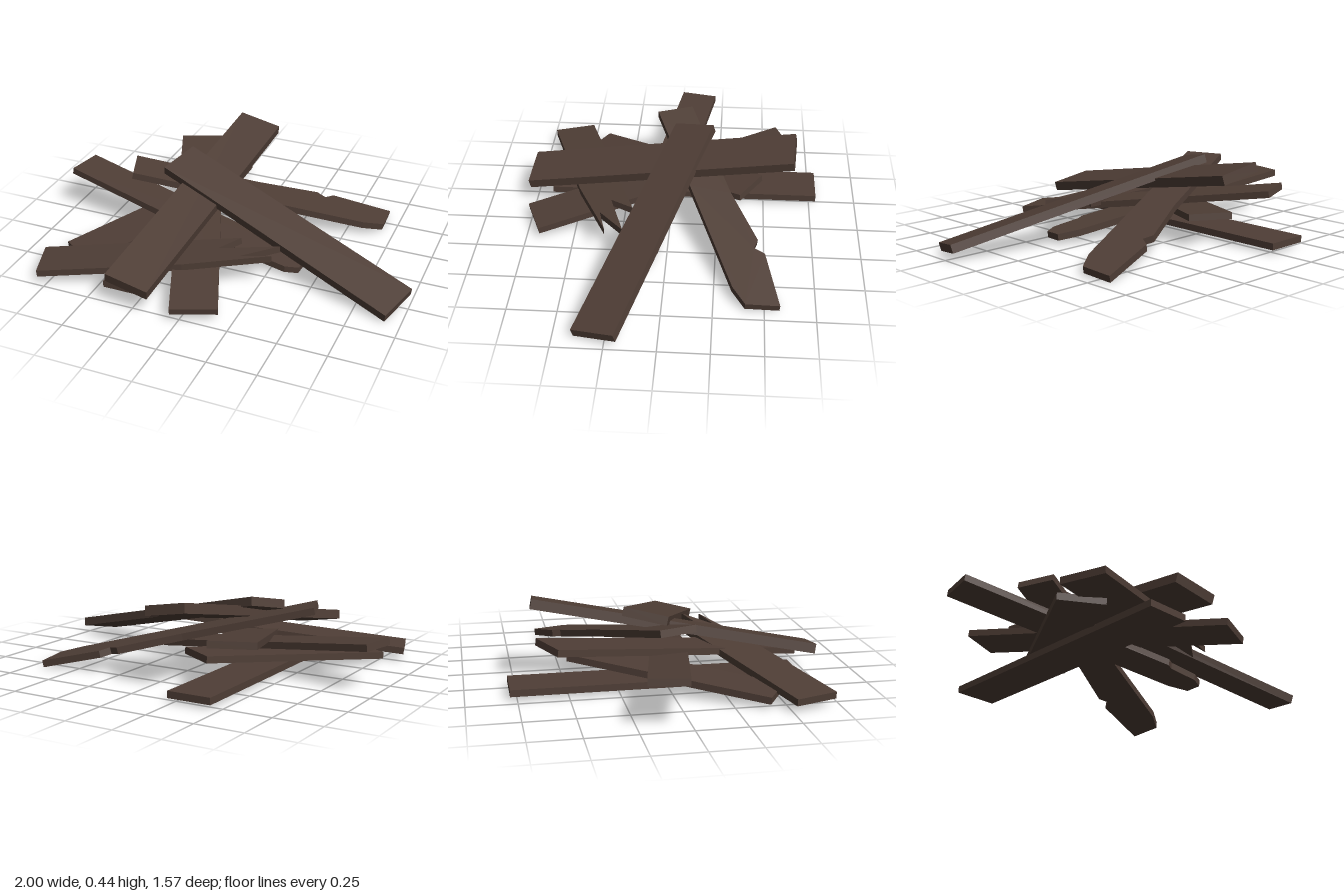
import * as THREE from 'three';

const wood = new THREE.MeshStandardMaterial({ color: 0x4f3e36 });
wood.name = 'darkWood';

// One plank: a and b are the centres of its ends, roll tips it about its length.
// breakEnd lists [along, across] points for a splintered far end, left edge to right edge.
function plank(name, a, b, width, thick, roll = 0, breakEnd = null) {
  const start = new THREE.Vector3(...a);
  const along = new THREE.Vector3(...b).sub(start);
  const length = along.length();
  const stretch = length / Math.hypot(along.x, along.z);
  along.normalize();
  const h = width / 2;
  const end = breakEnd
    ? breakEnd.map(([u, v]) => [u * stretch, v])
    : [[length, h], [length, -h]];
  const outline = [[0, -h], ...end.reverse(), [0, h]];
  const shape = new THREE.Shape(outline.map(([u, v]) => new THREE.Vector2(u, v)));
  const geo = new THREE.ExtrudeGeometry(shape, { depth: thick, bevelEnabled: false });
  geo.translate(0, 0, -thick / 2);
  geo.rotateX(roll);

  const across = new THREE.Vector3(0, 1, 0).cross(along).normalize();
  const normal = along.clone().cross(across);
  geo.applyMatrix4(new THREE.Matrix4().makeBasis(along, across, normal).setPosition(start));
  const mesh = new THREE.Mesh(geo, wood);
  mesh.name = name;
  return mesh;
}

export function createModel() {
  const group = new THREE.Group();
  group.name = 'plankPile';

  // Top planks
  group.add(plank('topPlank', [-0.39, 0.37, -0.115], [0.96, 0.045, 0.30], 0.225, 0.045, 0.19));
  group.add(plank('longPlank', [-0.125, 0.40, -0.65], [-0.27, 0.135, 0.772], 0.235, 0.05, -0.17));

  // Lower whole planks
  group.add(plank('groundPlank', [-0.34, 0.037, -0.785], [-0.34, 0.037, 0.665], 0.23, 0.035));
  group.add(plank('slantedPlank', [-0.463, 0.26, -0.605], [0.065, 0.045, 0.725], 0.235, 0.035));
  group.add(plank('shortPlank', [-0.70, 0.04, 0.47], [-0.16, 0.14, -0.43], 0.23, 0.035));

  // Planks with broken far ends
  group.add(plank('splinteredPlank', [-0.835, 0.05, 0.6225], [0.325, 0.165, 0.235], 0.226, 0.035, 0,
    [[1.024, 0.113], [0.91, 0.024], [1.223, 0.014], [1.019, -0.06], [1.183, -0.073], [0.737, -0.113]]));
  group.add(plank('notchedPlank', [-0.595, 0.345, 0.008], [0.694, 0.022, -0.472], 0.2, 0.036, 0,
    [[0.66, 0.103], [0.99, 0.134], [1.034, 0.098], [1.081, 0.139], [1.398, 0.101],
      [1.348, -0.061], [1.236, -0.089], [0.562, -0.094]]));
  group.add(plank('chippedPlank', [-0.98, 0.226, -0.115], [0.42, 0.035, 0.165], 0.194, 0.035, 0,
    [[1.3, 0.097], [1.41, 0.07], [1.42, -0.02], [1.36, -0.06], [1.2, -0.075], [1.17, -0.097]]));
  return group;
}
